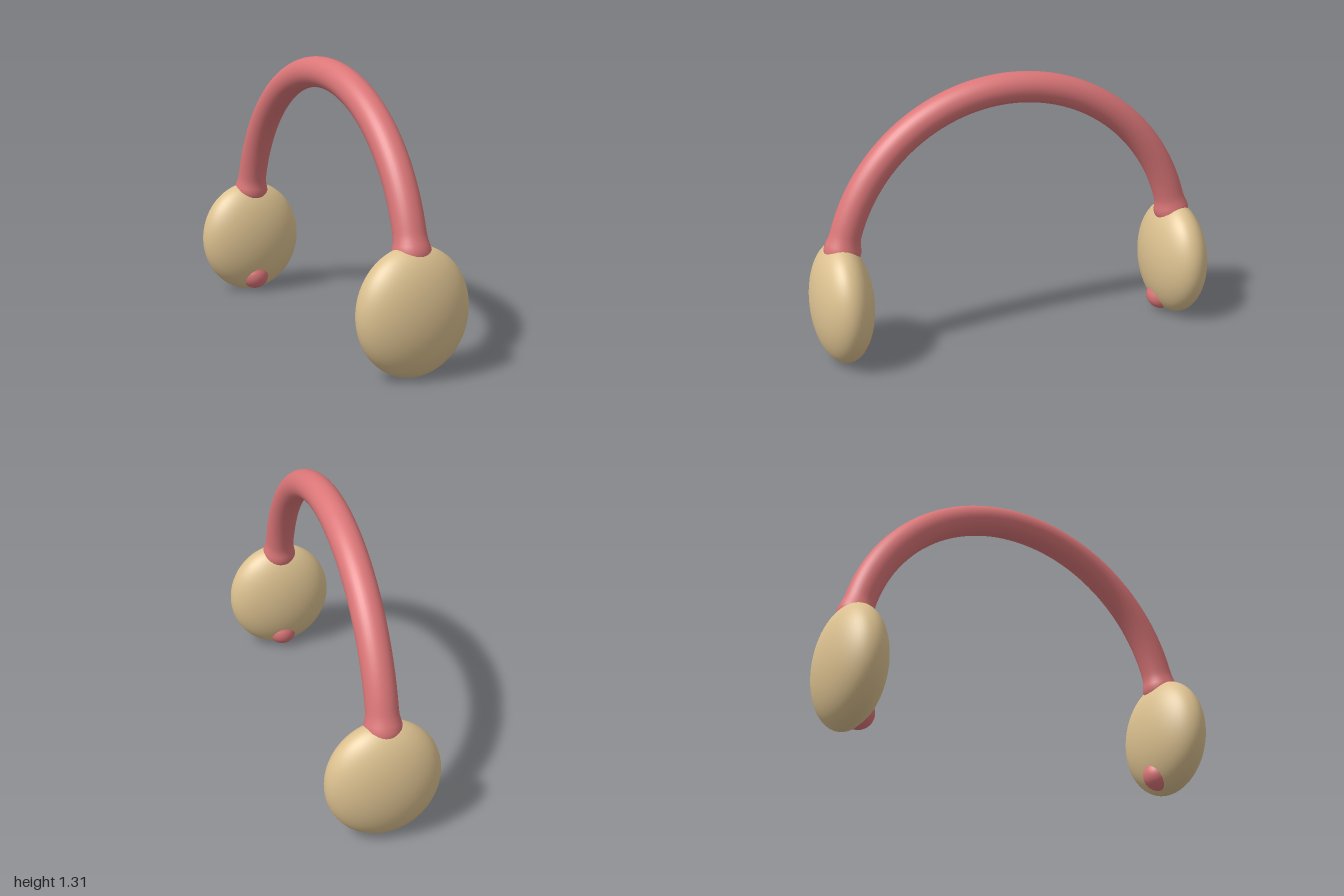
import * as THREE from 'three';
import { mergeVertices } from 'three/addons/utils/BufferGeometryUtils.js';

const R = 0.857;        // band arc radius
const TUBE = 0.073;     // band thickness radius
const CENTRE_Y = 0.382; // height of the arc's centre
const DROP = 0.355;     // angle the band runs on below its centre, inside the cups
const JOINT = 0.19;     // angle at which the band enters a cup

// Round arc that flares softly where it meets the cups
function bandGeometry() {
  const arc = Math.PI + 2 * DROP;
  let geo = new THREE.TorusGeometry(R, TUBE, 32, 140, arc);
  geo.rotateZ(-DROP);
  const pos = geo.attributes.position;
  for (let i = 0; i < pos.count; i++) {
    const x = pos.getX(i), y = pos.getY(i);
    const a = Math.atan2(y, x);
    const fromSide = Math.asin(Math.sin(a)); // same on both halves
    const d = (fromSide - JOINT) / 0.045;
    const s = 1 + 0.2 * Math.exp(-d * d);
    const cx = R * Math.cos(a), cy = R * Math.sin(a);
    pos.setXYZ(i, cx + (x - cx) * s, cy + (y - cy) * s, pos.getZ(i) * s);
  }
  geo.deleteAttribute('uv');
  geo.deleteAttribute('normal');
  geo = mergeVertices(geo, 1e-5);
  geo.computeVertexNormals();
  geo.rotateY(Math.PI / 2);
  return geo;
}

export function createModel() {
  const group = new THREE.Group();
  const red = new THREE.MeshStandardMaterial({ name: 'coral red', color: 0xdb7678 });
  const tan = new THREE.MeshStandardMaterial({ name: 'sand tan', color: 0xdcc190 });

  const add = (name, geo, mat, y, z) => {
    const mesh = new THREE.Mesh(geo, mat);
    mesh.name = name;
    mesh.position.set(0, y, z);
    group.add(mesh);
  };

  // Headband
  add('headband', bandGeometry(), red, CENTRE_Y, 0);

  // Ear cups and the rounded band ends that show through their inner sides
  const cup = new THREE.SphereGeometry(1, 64, 48).scale(0.268, 0.29, 0.143);
  const end = new THREE.SphereGeometry(TUBE, 32, 24);
  for (const [side, s] of [['front', 1], ['back', -1]]) {
    add(side + 'EarCup', cup, tan, 0.29, s * 0.857);
    add(side + 'BandEnd', end, red, CENTRE_Y - R * Math.sin(DROP), s * R * Math.cos(DROP));
  }
  return group;
}
